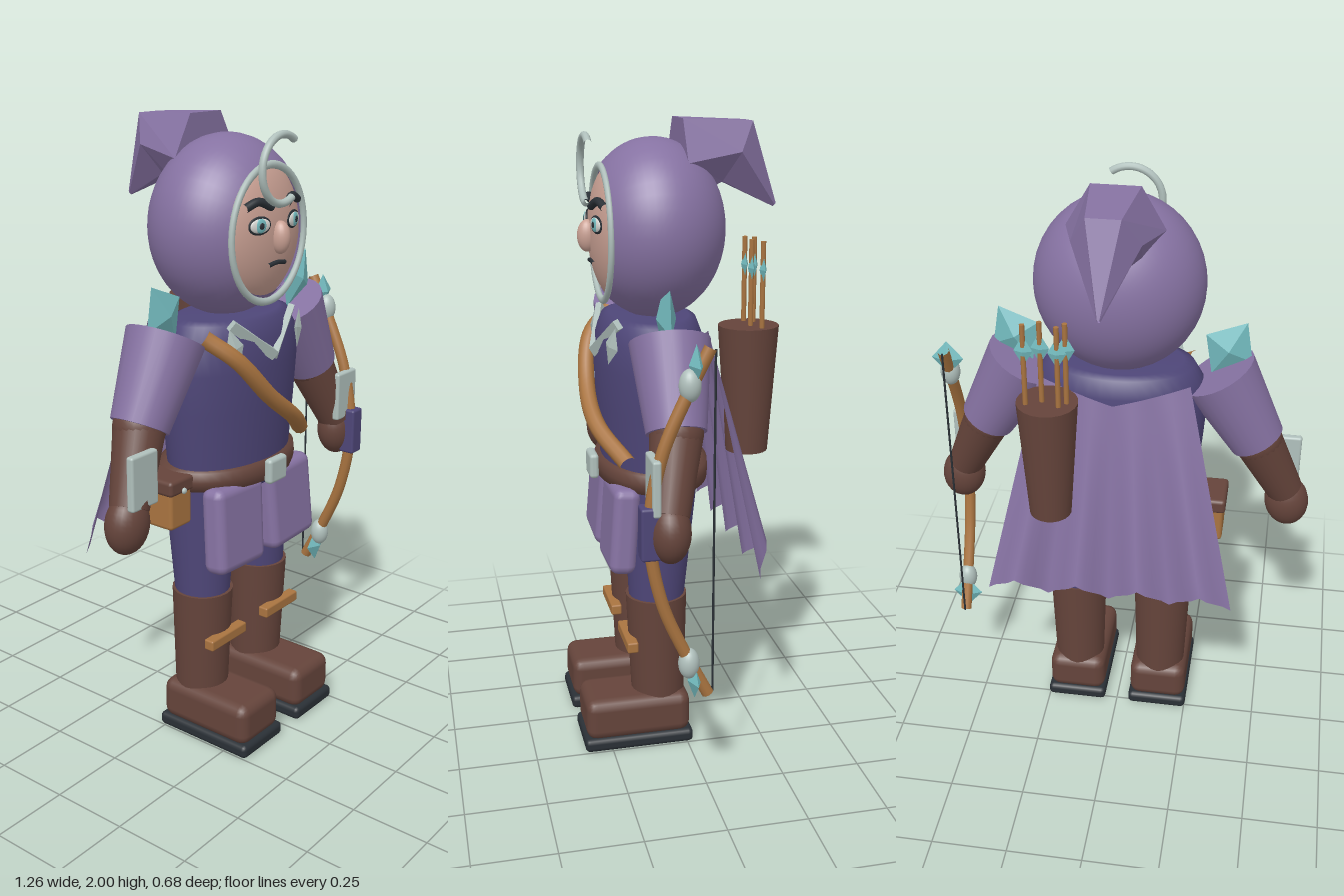
import * as THREE from 'three';
import { RoundedBoxGeometry } from 'three/addons/geometries/RoundedBoxGeometry.js';

const mat = (name, color, side = THREE.FrontSide) =>
  Object.assign(new THREE.MeshStandardMaterial({ color, side }), { name });
const V = (x, y, z) => new THREE.Vector3(x, y, z);

export function createModel() {
  const model = new THREE.Group();
  model.name = 'hoodedArcher';
  const purple = mat('purple cloth', 0x8672a2, THREE.DoubleSide);
  const indigo = mat('indigo cloth', 0x4e4678);
  const brown = mat('brown leather', 0x65443b);
  const wood = mat('tan wood', 0xa97440);
  const skin = mat('skin', 0xc9a093);
  const silver = mat('silver', 0xb0c0bc);
  const teal = mat('teal crystal', 0x74bcc0);
  const dark = mat('dark', 0x2a3036);
  const white = mat('eye white', 0xdcdcd8);

  const add = (name, geo, material, x = 0, y = 0, z = 0, parent = model) => {
    const m = new THREE.Mesh(geo, material);
    m.name = name;
    m.position.set(x, y, z);
    parent.add(m);
    return m;
  };
  const box = (w, h, d, r = 0.012) => new RoundedBoxGeometry(w, h, d, 2, r);
  const ball = (rx, ry, rz, n = 24) => new THREE.SphereGeometry(1, n, Math.round(n * 0.7)).scale(rx, ry, rz);
  const gem = (rx, ry, rz) => new THREE.OctahedronGeometry(1).scale(rx, ry, rz);
  const tube = (pts, r, n = 32) => new THREE.TubeGeometry(new THREE.CatmullRomCurve3(pts), n, r, 10);
  // Places a y-axis part so that it runs from a to b
  const span = (name, geo, material, a, b) => {
    const m = add(name, geo, material);
    m.position.copy(a).add(b).multiplyScalar(0.5);
    m.quaternion.setFromUnitVectors(V(0, 1, 0), b.clone().sub(a).normalize());
    return m;
  };
  const limb = (name, material, a, b, ra, rb) =>
    span(name, new THREE.CylinderGeometry(rb, ra, a.distanceTo(b), 24), material, a, b);
  const bar = (name, material, a, b, w, d) =>
    span(name, new THREE.BoxGeometry(w, a.distanceTo(b), d), material, a, b);
  const lathe = (pts, depth) =>
    new THREE.LatheGeometry(pts.map(p => new THREE.Vector2(...p)), 40).scale(1, 1, depth);

  // Hood: a sphere open at the front, with a silver rim
  add('hood', new THREE.SphereGeometry(1, 40, 24, 0, Math.PI * 2, 0.8, Math.PI - 0.8)
    .rotateX(Math.PI / 2).scale(0.263, 0.277, 0.224), purple, 0, 1.668, 0.059);
  add('hoodRim', new THREE.TorusGeometry(1, 0.06, 10, 48).scale(0.184, 0.205, 0.16), silver, 0, 1.655, 0.222);
  add('crescent', new THREE.TorusGeometry(0.1, 0.012, 10, 36, 4.3).rotateZ(0.95), silver, 0, 1.85, 0.267);

  // Hood point: hexagonal rings bending backward and down
  const tipRings = [
    { c: [1.873, -0.02], rx: 0.147, up: [0.127, 0] },
    { c: [1.9, -0.198], rx: 0.1, up: [0.09, -0.047] },
    { c: [1.73, -0.333], rx: 0.006, up: [0.005, -0.005] },
  ];
  const pos = [], idx = [];
  tipRings.forEach(({ c, rx, up }, i) => {
    for (let k = 0; k < 6; k++) {
      const a = k * Math.PI / 3, s = Math.sin(a) / 0.866, n = (k + 1) % 6;
      pos.push(rx * Math.cos(a), c[0] + up[0] * s, c[1] + up[1] * s);
      if (i < 2) {
        const p = i * 6 + k, q = i * 6 + n;
        idx.push(p, p + 6, q, q, p + 6, q + 6);
      }
    }
  });
  for (let k = 1; k < 5; k++) idx.push(0, k, k + 1);
  const tip = new THREE.BufferGeometry();
  tip.setAttribute('position', new THREE.Float32BufferAttribute(pos, 3));
  tip.setIndex(idx);
  const tipFlat = tip.toNonIndexed();
  tipFlat.computeVertexNormals();
  add('hoodPoint', tipFlat, purple);

  // Face
  const faceZ = (x, y) => 0.16 + 0.1 * Math.sqrt(Math.max(0, 1 - (x / 0.2) ** 2 - ((y - 1.66) / 0.222) ** 2));
  add('face', ball(0.2, 0.222, 0.1, 36), skin, 0, 1.66, 0.16);
  add('nose', ball(0.028, 0.05, 0.032), skin, 0, 1.65, 0.264);
  add('mouth', tube([-0.042, 0, 0.042].map(x => V(x, x ? 1.569 : 1.574, faceZ(x, 1.572) + 0.002)), 0.007), dark);
  for (const s of [-1, 1]) {
    const eye = new THREE.Group();
    eye.name = 'eye';
    eye.position.set(s * 0.085, 1.693, faceZ(0.085, 1.693));
    eye.rotation.y = s * 0.22;
    model.add(eye);
    add('eyeOutline', ball(0.044, 0.028, 0.006), dark, 0, 0, 0, eye);
    add('eyeWhite', ball(0.039, 0.022, 0.008), white, 0, 0, 0.002, eye);
    add('iris', ball(0.021, 0.021, 0.006), teal, 0, 0, 0.006, eye);
    add('pupil', ball(0.011, 0.011, 0.005), dark, 0, 0, 0.009, eye);
    add('eyebrow', tube([[0.035, 1.743], [0.085, 1.762], [0.132, 1.746]]
      .map(([x, y]) => V(s * x, y, faceZ(x, y) + 0.006)), 0.013), dark);
  }

  // Torso, belt and buckle
  add('tunic', lathe([[0, 0.86], [0.24, 0.86], [0.25, 0.93], [0.268, 1.12], [0.278, 1.25],
    [0.268, 1.34], [0.235, 1.395], [0.2, 1.405], [0, 1.405]], 0.62), indigo, 0, 0, 0.075);
  add('belt', lathe([[0.24, 0.875], [0.272, 0.88], [0.276, 0.91], [0.272, 0.94], [0.24, 0.945]], 0.65), brown, 0, 0, 0.07);
  add('buckle', box(0.092, 0.082, 0.03), silver, 0, 0.914, 0.262);
  add('strap', tube([V(-0.235, 1.37, 0.16), V(-0.17, 1.3, 0.235), V(-0.05, 1.17, 0.268),
    V(0.09, 1.07, 0.26), V(0.235, 0.98, 0.19)], 0.027), wood);
  add('pouch', box(0.1, 0.13, 0.13), wood, -0.302, 0.842, 0.06);
  add('pouchFlap', box(0.115, 0.05, 0.145), brown, -0.302, 0.915, 0.06);
  add('pouchStud', ball(0.01, 0.01, 0.008, 12), silver, -0.3, 0.9, 0.134);

  for (const s of [-1, 1]) {
    // Collar
    bar('collar', silver, V(s * 0.155, 1.4, 0.2), V(0, 1.285, 0.25), 0.032, 0.02);
    const point = add('collarPoint', gem(0.03, 0.062, 0.012), silver, s * 0.165, 1.335, 0.222);
    point.rotation.set(0, s * 0.5, s * -0.3);

    // Skirt panel, leg and boot
    const panel = add('skirtPanel', box(0.232, 0.28, 0.085, 0.03), purple, s * 0.135, 0.752, 0.2);
    panel.rotation.set(-0.08, 0, s * 0.04);
    limb('legging', indigo, V(s * 0.15, 0.48, 0.085), V(s * 0.14, 0.9, 0.07), 0.088, 0.12);
    limb('bootShaft', brown, V(s * 0.148, 0.13, 0.08), V(s * 0.15, 0.51, 0.085), 0.086, 0.099);
    add('bootFoot', box(0.2, 0.14, 0.345, 0.035), brown, s * 0.148, 0.105, 0.16);
    add('bootSole', box(0.21, 0.045, 0.36, 0.016), dark, s * 0.148, 0.0225, 0.16);
    add('bootStrap', box(0.18, 0.036, 0.036, 0.006), wood, s * 0.147, 0.355, 0.178);

    // Arm
    const elbow = V(s * 0.443, 1.135, 0.085);
    limb('sleeve', purple, V(s * 0.31, 1.375, 0.075), elbow, 0.122, 0.09);
    add('elbow', ball(0.082, 0.082, 0.08), brown, ...elbow.toArray());
    limb('forearm', brown, elbow, V(s * 0.545, 0.92, 0.13), 0.08, 0.06);
    const fist = add('fist', ball(0.073, 0.092, 0.062), brown, s * 0.555, 0.875, 0.13);
    fist.rotation.z = s * 0.15;
    add('bracerPlate', box(0.113, 0.168, 0.026, 0.008), silver, s * 0.533, 1.015, 0.173);
    const crystal = add('shoulderCrystal', gem(0.085, 0.105, 0.03), teal, s * 0.338, 1.45, 0.092);
    crystal.rotation.z = s * -0.52;
  }

  // Cape: a widening sheet with folds and a ragged hem
  const cape = new THREE.PlaneGeometry(2, 1, 32, 12);
  const cp = cape.attributes.position;
  for (let i = 0; i < cp.count; i++) {
    const u = cp.getX(i), v = 0.5 - cp.getY(i);
    const zig = Math.abs(((u + 1) * 4 + 1) % 2 - 1);
    const top = 1.32 + 0.07 * Math.abs(u), hem = 0.635 + 0.08 * zig;
    cp.setXYZ(i, u * (0.235 + 0.17 * v), top + (hem - top) * v,
      -0.06 - 0.155 * v + 0.025 * v * Math.cos(u * Math.PI * 4) - 0.035 * (1 - u * u) * (1 - v));
  }
  cape.computeVertexNormals();
  add('cape', cape, purple);

  // Quiver and arrows
  add('quiver', new THREE.CylinderGeometry(0.094, 0.066, 0.4, 20), brown, 0.18, 1.187, -0.203);
  for (const [x, z] of [[0.14, -0.23], [0.24, -0.228], [0.12, -0.205], [0.195, -0.205]]) {
    add('arrowShaft', new THREE.CylinderGeometry(0.008, 0.008, 0.3, 8), wood, x, 1.5, z);
    add('arrowVane', gem(0.028, 0.05, 0.011), teal, x, 1.565, z);
  }

  // Bow held in the left hand
  const bx = 0.557;
  add('bowLimb', tube([[1.41, 0.015], [1.28, 0.08], [1.1, 0.155], [0.88, 0.19], [0.66, 0.155], [0.48, 0.08], [0.35, 0.015]]
    .map(([y, z]) => V(bx, y, z)), 0.019, 48), wood);
  add('bowGrip', box(0.058, 0.16, 0.058, 0.008), indigo, bx, 0.88, 0.19);
  add('bowString', new THREE.CylinderGeometry(0.0035, 0.0035, 1.05, 6), dark, bx, 0.88, 0.0);
  for (const s of [-1, 1]) {
    add('bowJoint', ball(0.032, 0.048, 0.032), silver, bx, 0.88 + s * 0.425, 0.073);
    add('bowCrystal', gem(0.052, 0.06, 0.022), teal, bx, 0.88 + s * 0.482, 0.055);
  }
  return model;
}
